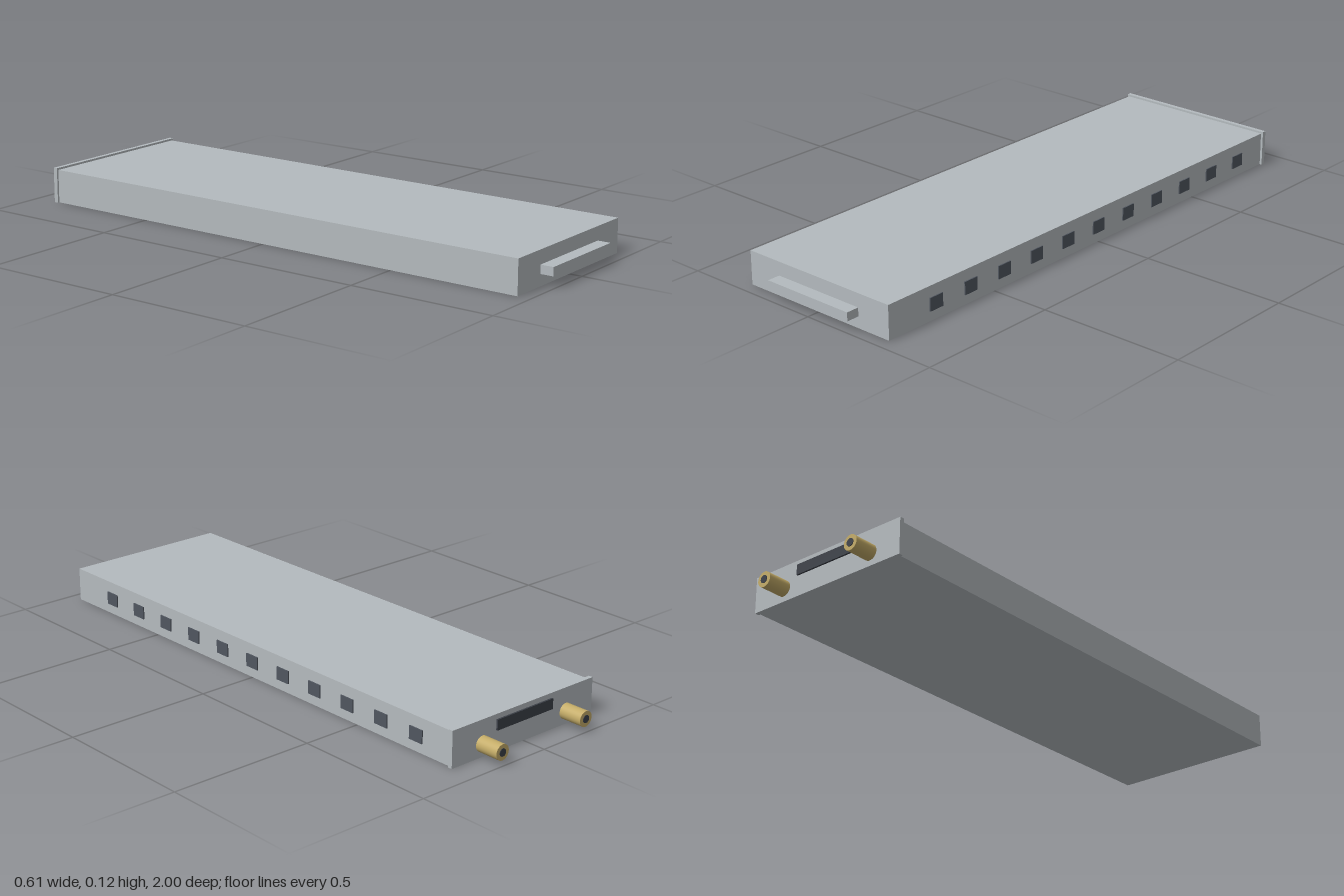
import * as THREE from 'three';

export function createModel() {
  const group = new THREE.Group();
  const mat = (color) => new THREE.MeshStandardMaterial({ color });
  const shell = mat(0xb4babe);
  const dark = mat(0x50565f);
  const slotDark = mat(0x3c4048);
  const brass = mat(0xc4ac68);

  const add = (name, geometry, material, x, y, z) => {
    const mesh = new THREE.Mesh(geometry, material);
    mesh.name = name;
    mesh.position.set(x, y, z);
    group.add(mesh);
    return mesh;
  };
  // Box given by its lower and upper limits on each axis
  const box = (name, material, [x0, x1], [y0, y1], [z0, z1]) =>
    add(name, new THREE.BoxGeometry(x1 - x0, y1 - y0, z1 - z0), material,
      (x0 + x1) / 2, (y0 + y1) / 2, (z0 + z1) / 2);

  // Flat housing with a slightly larger plate at the back
  box('housing', shell, [-0.296, 0.295], [0, 0.115], [-0.905, 0.955]);
  box('backPlate', shell, [-0.303, 0.303], [0, 0.122], [-0.915, -0.9]);

  // Pull handle on the front
  box('frontHandle', shell, [-0.17, 0.17], [0.039, 0.068], [0.95, 1]);

  // Electrical socket strip on the back plate
  box('backSocket', slotDark, [-0.12, 0.12], [0.07, 0.105], [-0.921, -0.91]);

  // Row of vents along the left side
  for (let i = 0; i < 11; i++) {
    const z = 0.757 - i * 0.1514;
    box('sideVent', dark, [0.29, 0.299], [0.033, 0.077], [z - 0.0275, z + 0.0275]);
  }

  // Two pipe couplings with dark bores
  const pipe = new THREE.CylinderGeometry(0.026, 0.026, 0.09, 32).rotateX(Math.PI / 2);
  const bore = new THREE.CylinderGeometry(0.013, 0.013, 0.01, 32).rotateX(Math.PI / 2);
  for (const x of [-0.184, 0.178]) {
    add('coupling', pipe, brass, x, 0.044, -0.953);
    add('couplingBore', bore, slotDark, x, 0.044, -0.995);
  }

  return group;
}
